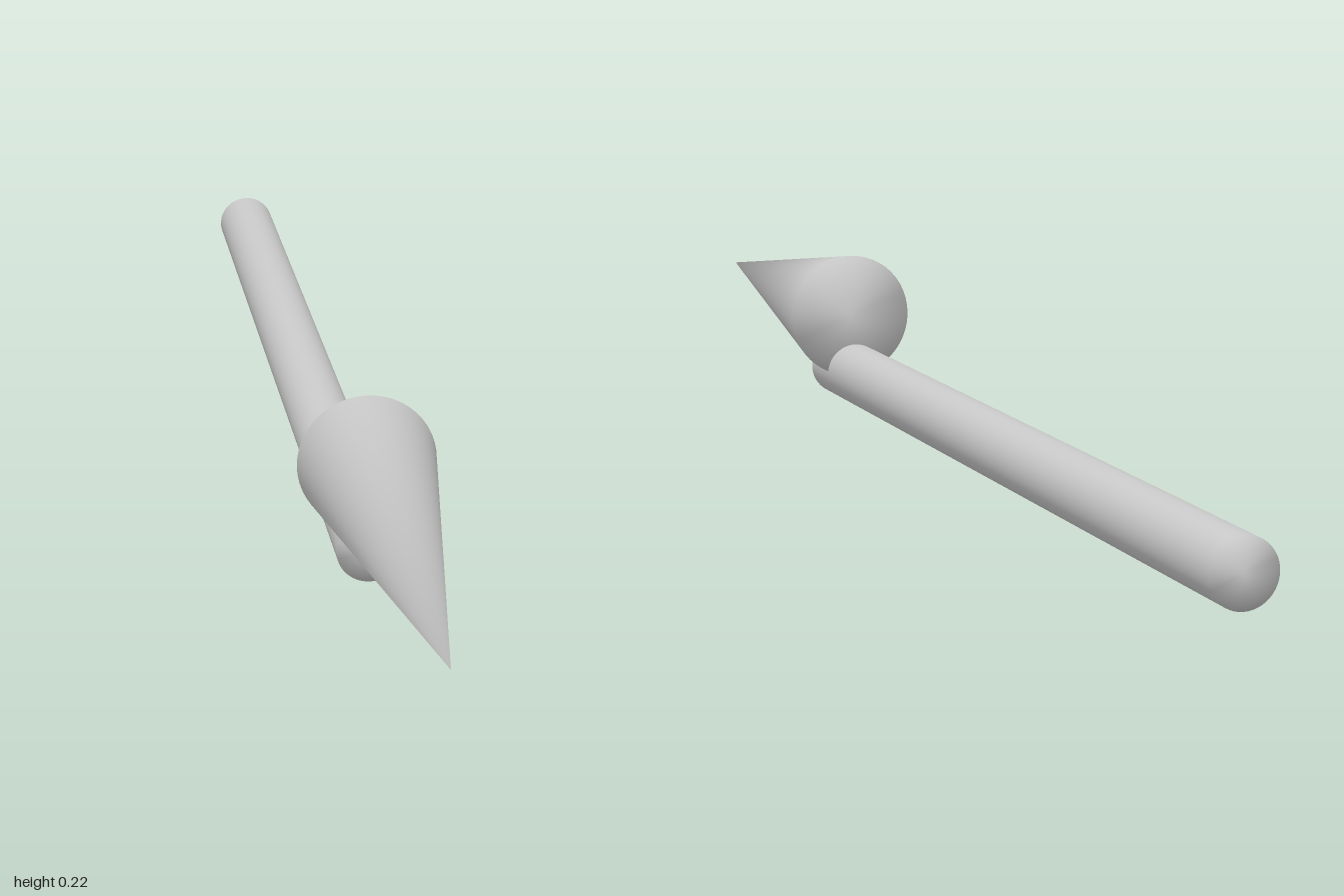
import * as THREE from 'three';
import { mergeVertices } from 'three/addons/utils/BufferGeometryUtils.js';

const material = new THREE.MeshStandardMaterial({ color: 0xcccccc });

// Capped round solid lying along z, with normals smoothed over the rims
function roundPart(name, frontRadius, backRadius, zBack, zFront, x, y) {
  const length = zFront - zBack;
  let geometry = new THREE.CylinderGeometry(frontRadius, backRadius, length, 48);
  geometry.deleteAttribute('uv');
  geometry.deleteAttribute('normal');
  geometry = mergeVertices(geometry, 1e-5);
  geometry.computeVertexNormals();
  geometry.rotateX(Math.PI / 2);
  const mesh = new THREE.Mesh(geometry, material);
  mesh.name = name;
  mesh.position.set(x, y, (zBack + zFront) / 2);
  return mesh;
}

export function createModel() {
  const group = new THREE.Group();
  group.name = 'arrow';

  // Long shaft, set low and slightly off centre
  group.add(roundPart('shaft', 0.042, 0.042, -1, 0.45, -0.007, 0.042));

  // Pointed head resting over the front end of the shaft
  group.add(roundPart('arrowHead', 0, 0.088, 0.37, 1, 0, 0.127));

  return group;
}
